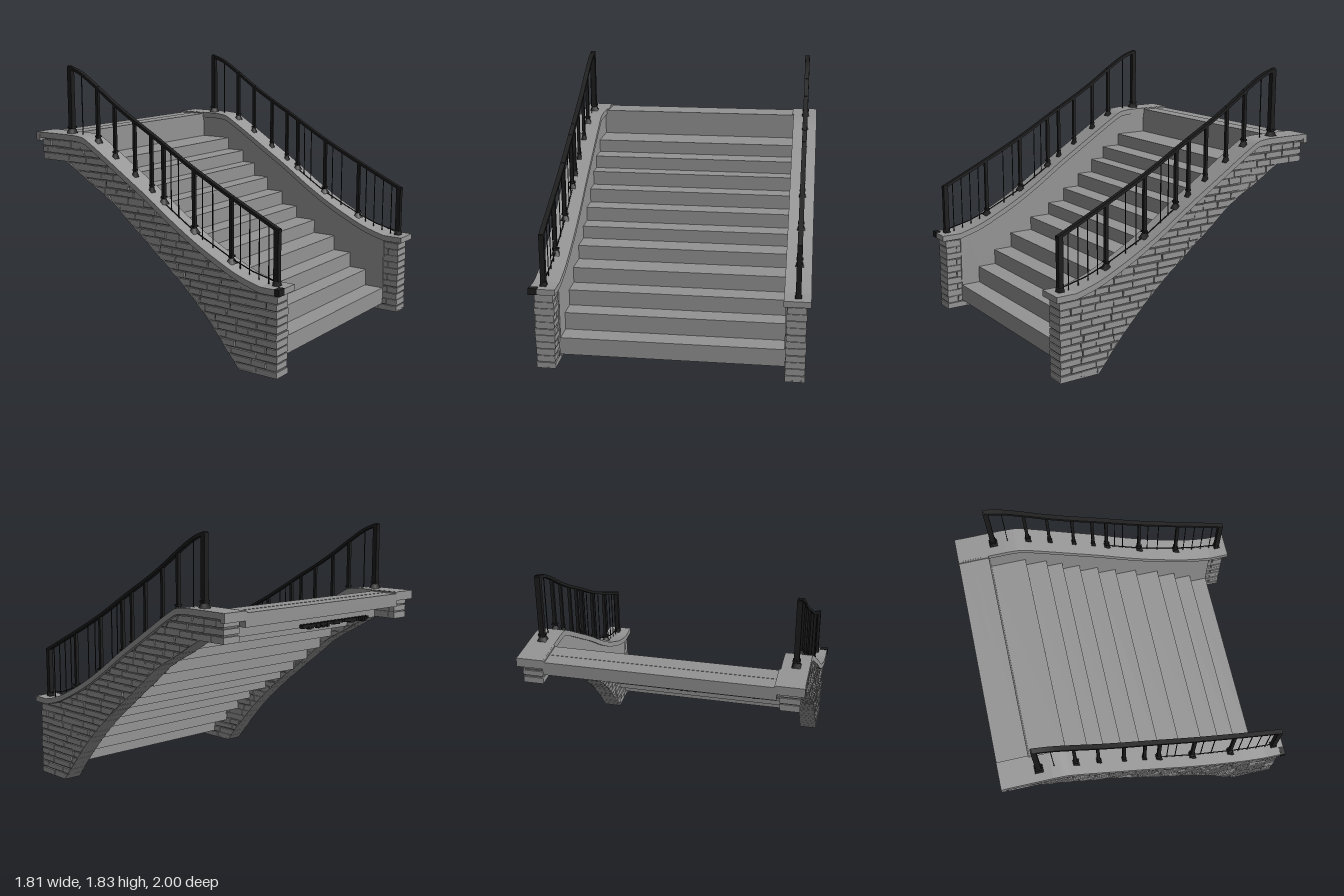
import * as THREE from 'three';
import { mergeGeometries } from 'three/addons/utils/BufferGeometryUtils.js';

const material = (name, color) => {
  const m = new THREE.MeshStandardMaterial({ color });
  m.name = name;
  return m;
};

// Side profiles as [z, y], listed from front to back
const spline = pts => new THREE.SplineCurve(pts.map(p => new THREE.Vector2(...p))).getPoints(40).map(p => [p.x, p.y]);
const CAP = [[1, 0.57], ...spline([[0.86, 0.57], [0.72, 0.61], [0.6, 0.66], [0.4, 0.76], [0.2, 0.88], [0, 1.015],
  [-0.2, 1.14], [-0.4, 1.265], [-0.5, 1.325], [-0.57, 1.36], [-0.66, 1.37]]), [-1, 1.37]];
const ARCH = spline([[0.69, 0], [0.6, 0.11], [0.4, 0.335], [0.2, 0.52], [0, 0.68], [-0.2, 0.835], [-0.35, 0.955],
  [-0.55, 1.065], [-0.75, 1.18]]);
const RAIL = spline([[0.95, 0.92], [0.6, 1.085], [0.3, 1.235], [0, 1.405], [-0.2, 1.515], [-0.35, 1.605],
  [-0.5, 1.705], [-0.64, 1.79], [-0.75, 1.83]]);
const LOW_RAIL = [[0.93, 0.595], [0.75, 0.635], [0.6, 0.69], [0.3, 0.83], [0.06, 0.98]];
const STEPS = [[0.855, 0.17], [0.715, 0.29], [0.58, 0.4], [0.44, 0.51], [0.265, 0.61], [0.105, 0.7],
  [-0.03, 0.8], [-0.165, 0.9], [-0.29, 1.0], [-0.4, 1.09], [-0.545, 1.18], [-0.79, 1.36]];
// Posts as [z, shaft width, foot width]
const POSTS = [[0.93, 0.034, 0.044], [0.595, 0.022, 0.056], [0.305, 0.022, 0.056], [0.06, 0.022, 0.05],
  [-0.04, 0.02, 0.034], [-0.18, 0.02, 0.034], [-0.35, 0.02, 0.036], [-0.5, 0.022, 0.046], [-0.74, 0.034, 0.06]];
const FRONT = 0.97, BACK = -0.965, CAP_THICK = 0.04;

// Linear lookup of column b from column a
function lookup(pts, v, a, b) {
  for (let i = 1; i < pts.length; i++) {
    const p = pts[i - 1], q = pts[i];
    if ((v - p[a]) * (v - q[a]) <= 0 && p[a] !== q[a]) return p[b] + (q[b] - p[b]) * (v - p[a]) / (q[a] - p[a]);
  }
  const first = pts[0], last = pts[pts.length - 1];
  return Math.abs(v - first[a]) < Math.abs(v - last[a]) ? first[b] : last[b];
}
const yAt = (pts, z) => lookup(pts, z, 0, 1);

// Extrude a [z, y] outline between x0 and x1
function slab(outline, x0, x1) {
  const shape = new THREE.Shape(outline.map(p => new THREE.Vector2(...p)));
  const g = new THREE.ExtrudeGeometry(shape, { depth: x1 - x0, bevelEnabled: false });
  return g.rotateY(-Math.PI / 2).translate(x1, 0, 0);
}
const drop = (pts, d) => pts.map(([z, y]) => [z, y - d]);
const strip = (pts, t, x0, x1) => slab([...pts, ...drop(pts, t).reverse()], x0, x1);

function seeded(seed) {
  return () => (seed = (seed * 16807) % 2147483647) / 2147483647;
}

export function createModel() {
  const model = new THREE.Group();
  const stone = material('wall stone', 0x969696);
  const paving = material('step stone', 0x939393);
  const mortar = material('grey mortar', 0x6c6c6c);
  const iron = material('black iron', 0x1c1c1c);
  const add = (parent, name, geometry, mat) => {
    const mesh = new THREE.Mesh(geometry, mat);
    mesh.name = name;
    parent.add(mesh);
  };

  // Steps: thin riser and tread, so the underside is stepped too
  const flight = new THREE.Group();
  flight.name = 'steps';
  model.add(flight);
  const thin = 0.005;
  STEPS.forEach(([z, y], i) => {
    const last = i === STEPS.length - 1;
    const bottom = i ? STEPS[i - 1][1] - thin : 0.05;
    const end = last ? -0.9 : STEPS[i + 1][0] - thin;
    add(flight, 'step' + (i + 1), slab([[z, bottom], [z, y], [end, y], [end, y - thin], [z - thin, y - thin],
      [z - thin, bottom]], -0.752, 0.752), paving);
  });
  add(flight, 'landing', slab([[-0.797, 1.27], [-0.797, 1.358], [-1, 1.358], [-1, 1.27]], -0.735, 0.735), paving);

  // Ragged dark fringe under the landing
  const fringe = [], ragged = seeded(29);
  for (let x = -0.62; x < 0.06; x += 0.022) {
    const h = 0.018 + ragged() * 0.018;
    fringe.push(new THREE.BoxGeometry(0.02, h, 0.03).translate(x, 1.2 - h / 2, -0.825));
  }
  add(flight, 'landingFringe', mergeGeometries(fringe), iron);

  const wallTop = drop(CAP, CAP_THICK);
  const slope = wallTop.slice(1, -1);
  const frontZ = y => y <= slope[0][1] ? FRONT : lookup(slope, y, 1, 0);
  const backZ = y => y >= 1.178 ? BACK : lookup(ARCH, y, 1, 0);

  // Full-width bricks laid in courses and trimmed to the wall outline
  function bricks(x0, x1, rand) {
    const parts = [], rows = 28, h = 1.18 / 25, gap = 0.0026;
    for (let r = 0; r < rows; r++) {
      const lo = r * h + gap, hi = (r + 1) * h - gap;
      let z = FRONT;
      let length = r % 2 ? 0.08 : 0.15;
      while (z > BACK) {
        const next = z - length;
        const fit = (v, y) => Math.max(backZ(y), Math.min(frontZ(y), v));
        const tilt = (rand() - 0.5) * 0.012;
        const a = fit(z === FRONT ? z - rand() * 0.004 : z - gap, lo), b = fit(z === FRONT ? a : z - gap + tilt, hi);
        const c = fit(next + gap + tilt, hi), d = fit(next + gap, lo);
        if (a - d > 0.008 || b - c > 0.008) {
          const j = rand() * 0.008;
          const outline = [[a, lo], [b, hi - rand() * 0.006], [c, hi - rand() * 0.004], [d, lo + rand() * 0.004]];
          parts.push(slab(outline, x0 - j, x1 + j));
        }
        z = next;
        length = 0.08 + rand() * 0.12;
      }
    }
    return mergeGeometries(parts);
  }

  for (const side of [1, -1]) {
    const label = side > 0 ? 'left' : 'right';
    // Order a mirrored pair of x limits
    const span = (inner, outer) => side > 0 ? [inner, outer] : [-outer, -inner];

    const wall = new THREE.Group();
    wall.name = label + 'Wall';
    model.add(wall);
    const inset = 0.008;
    const top = wallTop.slice(1, -1);
    const core = [[FRONT - inset, 0.005], [FRONT - inset, 0.53], ...top, [BACK + inset, 1.33], [BACK + inset, 1.185],
      ...[...ARCH].reverse().map(([z, y]) => [z + 0.004, y + 0.005])];
    add(wall, label + 'Mortar', slab(core, ...span(0.758, 0.87)), mortar);
    add(wall, label + 'Bricks', bricks(...span(0.754, 0.875), seeded(side > 0 ? 71 : 137)), stone);

    // Plain underside of the arch and foot
    const soffit = [[FRONT, 0], ...ARCH, [BACK, 1.18]];
    add(wall, label + 'Soffit', slab([...soffit, ...drop(soffit, -0.01).reverse()], ...span(0.752, 0.877)), stone);

    // Smooth wall face above the treads
    const tread = STEPS.flatMap(([z, y], i) => [[z, i ? STEPS[i - 1][1] - 0.003 : 0.05], [z, y - 0.003]]).slice(0, -1);
    const upper = top.filter(p => p[0] > -0.79 && p[0] < 0.85);
    const lining = [[0.856, 0.53], ...upper, [-0.791, 1.33], ...tread.reverse()];
    add(wall, label + 'InnerFace', slab(lining, ...span(0.741, 0.75)), stone);

    // Coping, a little wider by the landing, with a lip at the back
    add(wall, label + 'Coping', strip(CAP, CAP_THICK, ...span(0.73, 0.903)), stone);
    add(wall, label + 'CopingLip', slab([[-0.966, 1.31], [-0.966, 1.368], [-1, 1.368], [-1, 1.31]], ...span(0.72, 0.905)), stone);
    add(wall, label + 'CopingEnd', slab([[-0.79, 1.33], [-0.79, 1.369], [-0.99, 1.369], [-0.99, 1.33]], ...span(0.72, 0.9)), stone);

    // Iron railing
    const railing = new THREE.Group();
    railing.name = label + 'Railing';
    model.add(railing);
    const x = side * 0.82;
    add(railing, label + 'Handrail', strip(RAIL, 0.022, x - 0.016, x + 0.016), iron);
    add(railing, label + 'LowerRail', strip(LOW_RAIL, 0.006, x - 0.003, x + 0.003), iron);
    const box = (name, w, d, y0, y1, z) =>
      add(railing, name, new THREE.BoxGeometry(w, y1 - y0, d).translate(x, (y0 + y1) / 2, z), iron);
    for (const [z, w, footWidth] of POSTS) {
      const foot = yAt(CAP, z) - 0.01;
      box('post', w, w, foot, yAt(RAIL, z) - 0.005, z);
      // Flared square foot and collar
      const flare = new THREE.CylinderGeometry(w * 0.75, footWidth * 0.7, 0.035, 4, 1).rotateY(Math.PI / 4);
      add(railing, 'postFoot', flare.translate(x, foot + 0.022, z), iron);
      if (z !== 0.93) box('postCollar', footWidth * 0.8, w + 0.006, foot + 0.045, foot + 0.057, z);
    }
    for (const z of [0.87, 0.8, 0.73, 0.66, 0.45, 0.37, 0.18, 0.12, -0.64])
      box('baluster', 0.005, 0.005, yAt(CAP, z), yAt(RAIL, z) - 0.01, z);
  }

  // Loose iron stub on the front corner of one coping
  add(model, 'ironStub', new THREE.BoxGeometry(0.06, 0.044, 0.036).translate(-0.878, 0.552, 0.984), iron);
  return model;
}
